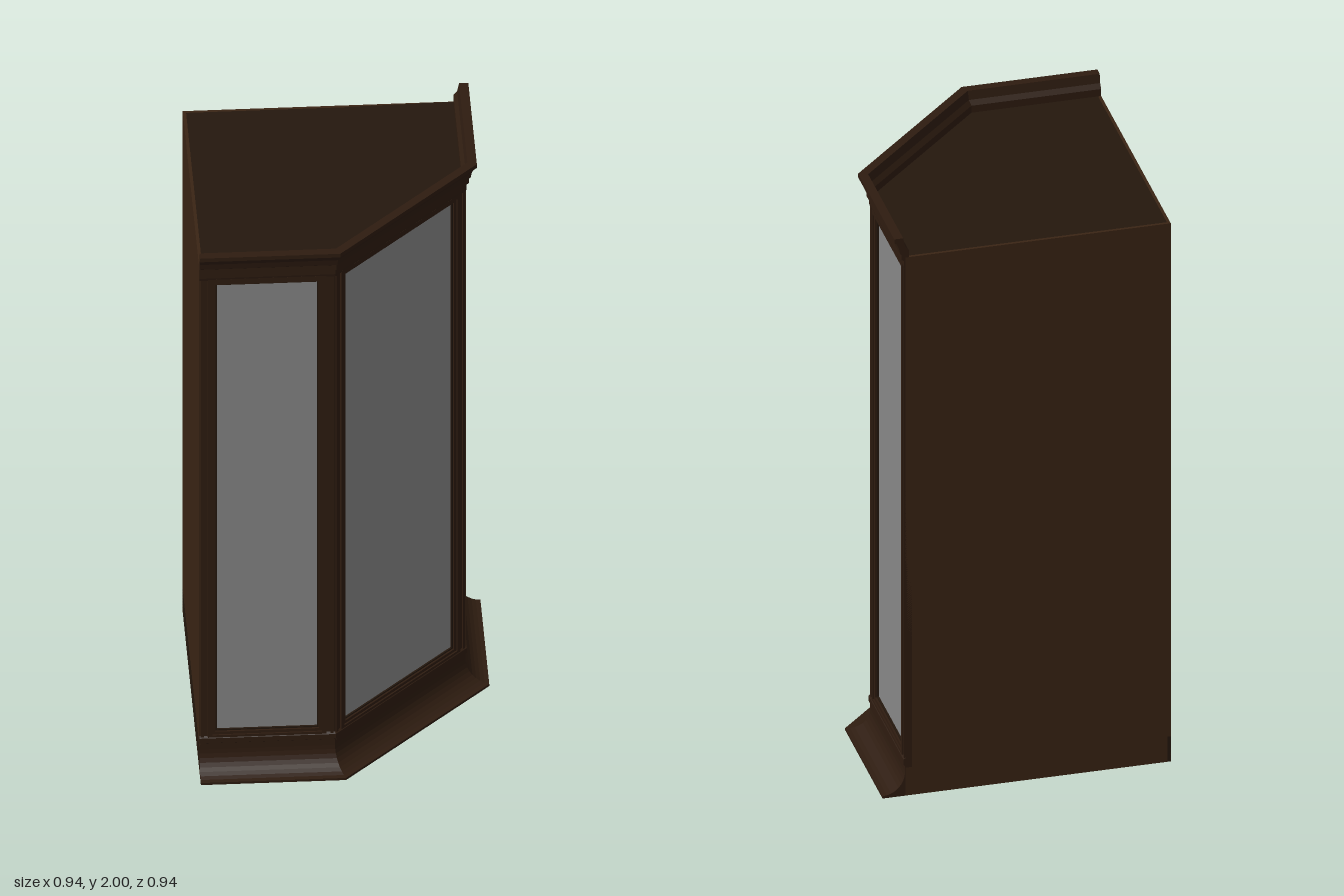
import * as THREE from 'three';

const BACK = -0.47, FACE = 0.39, CORNER = -0.045;

// Front outline of the cabinet plan, pushed outward by d with mitred corners
const outline = (d) => [
  [BACK, FACE + d],
  [CORNER + 0.414 * d, FACE + d],
  [FACE + d, CORNER + 0.414 * d],
  [FACE + d, BACK],
];

const material = (color, side = THREE.FrontSide) => new THREE.MeshStandardMaterial({ color, side });

function add(parent, name, geometry, mat, x = 0, y = 0, z = 0) {
  const mesh = new THREE.Mesh(geometry, mat);
  mesh.name = name;
  mesh.position.set(x, y, z);
  parent.add(mesh);
  return mesh;
}

// Sweeps a [offset, height] profile along the outline; capExtra closes the end caps
function moulding(profile, capExtra = []) {
  const pos = [];
  const at = ([d, y], i) => { const [x, z] = outline(d)[i]; return [x, y, z]; };
  for (let i = 0; i < 3; i++) {
    for (let k = 0; k < profile.length - 1; k++) {
      const a = at(profile[k], i), b = at(profile[k], i + 1);
      const c = at(profile[k + 1], i + 1), d = at(profile[k + 1], i);
      pos.push(...a, ...d, ...c, ...a, ...c, ...b);
    }
  }
  const cap = [...profile, ...capExtra];
  const points = cap.map(([d, y]) => new THREE.Vector2(d, y));
  for (const [p, q, r] of THREE.ShapeUtils.triangulateShape(points, [])) {
    const n = THREE.ShapeUtils.area(points) > 0 ? [p, q, r] : [r, q, p];
    for (const j of n) pos.push(...at(cap[j], 3));
    for (const j of [...n].reverse()) pos.push(...at(cap[j], 0));
  }
  const g = new THREE.BufferGeometry();
  g.setAttribute('position', new THREE.Float32BufferAttribute(pos, 3));
  g.computeVertexNormals();
  return g;
}

// Horizontal slab covering the body plan
function slab(thickness) {
  const s = new THREE.Shape([[BACK, BACK], ...outline(0)].map(([x, z]) => new THREE.Vector2(x, -z)));
  return new THREE.ExtrudeGeometry(s, { depth: thickness, bevelEnabled: false }).rotateX(-Math.PI / 2);
}

// Rectangular ring between two insets of a w by h opening
function ring(w, h, outer, inner, depth) {
  const rect = (m, Type) => new Type([[m, m], [w - m, m], [w - m, h - m], [m, h - m]]
    .map(([x, y]) => new THREE.Vector2(x, y)));
  const s = rect(outer, THREE.Shape);
  s.holes.push(rect(inner, THREE.Path));
  return new THREE.ExtrudeGeometry(s, { depth, bevelEnabled: false });
}

export function createModel() {
  const cabinet = new THREE.Group();
  cabinet.name = 'cornerCabinet';
  const wood = material(0x3a2414);
  const darkWood = material(0x24170d);
  const trim = material(0x2e1c10, THREE.DoubleSide);
  const glass = material(0x888888, THREE.DoubleSide);

  // Back walls, floor and roof
  const width = FACE - BACK;
  add(cabinet, 'backWall', new THREE.BoxGeometry(width, 1.93, 0.01), wood, BACK + width / 2, 0.965, BACK + 0.005);
  add(cabinet, 'sideWall', new THREE.BoxGeometry(0.01, 1.84, width), wood, BACK + 0.005, 1.01, BACK + width / 2);
  add(cabinet, 'sidePlinth', new THREE.BoxGeometry(0.01, 0.09, width), darkWood, BACK + 0.005, 0.045, BACK + width / 2);
  add(cabinet, 'floor', slab(0.012), wood, 0, 0.09, 0);
  add(cabinet, 'roof', slab(0.012), darkWood, 0, 1.918, 0);

  // Three glazed faces
  const y0 = 0.1, h = 1.82;
  const path = outline(0);
  ['frontPanel', 'cornerDoor', 'rightPanel'].forEach((name, i) => {
    const [ax, az] = path[i], [bx, bz] = path[i + 1];
    const w = Math.hypot(bx - ax, bz - az);
    const face = new THREE.Group();
    face.name = name;
    face.position.set(ax, y0, az);
    face.rotation.y = Math.atan2(az - bz, bx - ax);
    cabinet.add(face);
    add(face, 'frame', ring(w, h, 0, 0.05, 0.02), trim, 0, 0, -0.02);
    add(face, 'outerTrim', ring(w, h, 0.004, 0.014, 0.004), trim);
    add(face, 'middleTrim', ring(w, h, 0.026, 0.04, 0.005), trim);
    add(face, 'innerTrim', ring(w, h, 0.046, 0.055, 0.012), darkWood, 0, 0, -0.018);
    add(face, 'glass', new THREE.PlaneGeometry(w - 0.1, h - 0.1), glass, w / 2, h / 2, -0.012);
  });

  // Flared base skirt with a concave sweep
  const base = [[0, 0.135], [0.007, 0.13], [0.007, 0.112], [0.002, 0.108]];
  for (let i = 0; i <= 8; i++) {
    const a = (i / 8) * Math.PI / 2;
    base.push([0.002 + 0.073 * (1 - Math.cos(a)), 0.008 + 0.077 * (1 - Math.sin(a))]);
  }
  base.push([0.075, 0]);
  add(cabinet, 'baseSkirt', moulding(base, [[0, 0]]), trim);

  // Stepped crown standing above the roof
  const crown = [
    [-0.01, 1.89], [0.004, 1.89], [0.006, 1.9], [0.006, 1.918], [0.013, 1.922], [0.013, 1.94],
    [0.018, 1.944], [0.022, 1.965], [0.03, 1.982], [0.037, 1.986], [0.037, 2], [0.008, 2],
    [0.002, 1.97], [-0.01, 1.955], [-0.01, 1.89],
  ];
  add(cabinet, 'crown', moulding(crown), trim);

  return cabinet;
}
